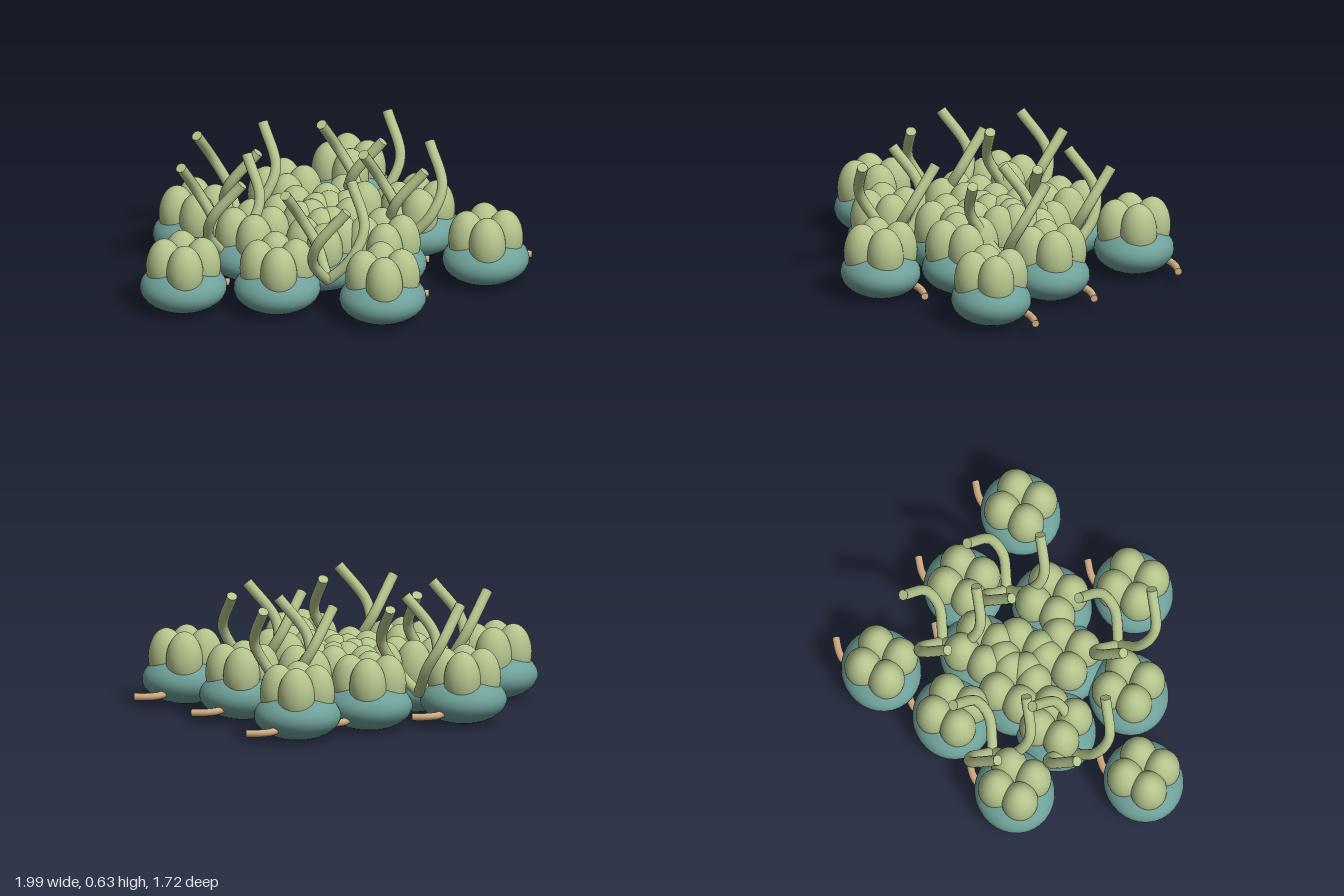
import * as THREE from 'three';

const green = new THREE.MeshStandardMaterial({ name: 'paleGreen', color: 0xb4c48c });
const teal = new THREE.MeshStandardMaterial({ name: 'seaTeal', color: 0x6fa19a });
const tan = new THREE.MeshStandardMaterial({ name: 'stemTan', color: 0xd2ae84 });

// Pod centres on the ground (x, z), spiralling outward
const pods = [
  [-0.015, 0.02], [-0.175, -0.055], [-0.07, 0.225], [0.075, -0.17], [0.23, 0.245],
  [-0.41, 0.09], [-0.21, -0.39], [0.435, -0.155], [-0.32, 0.49], [-0.67, -0.195],
  [0.195, 0.655], [0.13, -0.665], [0.745, 0.225], [-0.785, 0.44],
];
// Roots of the three-armed tendril tufts (x, z)
const tufts = [[-0.45, -0.25], [-0.56, 0.13], [0.18, -0.335], [0.36, 0.045], [-0.067, 0.505]];

function mesh(name, geometry, material) {
  const m = new THREE.Mesh(geometry, material);
  m.name = name;
  return m;
}

// Round tube through the points, closed by a disc at each end
function cappedTube(name, points, radius, material) {
  const curve = new THREE.CatmullRomCurve3(points.map((p) => new THREE.Vector3(...p)));
  const g = new THREE.Group();
  g.name = name;
  g.add(mesh(name + 'Body', new THREE.TubeGeometry(curve, 24, radius, 12), material));
  for (const t of [0, 1]) {
    const cap = mesh(name + 'Cap', new THREE.CircleGeometry(radius, 12), material);
    const dir = curve.getTangent(t).multiplyScalar(t ? 1 : -1);
    cap.position.copy(curve.getPoint(t));
    cap.quaternion.setFromUnitVectors(new THREE.Vector3(0, 0, 1), dir);
    g.add(cap);
  }
  return g;
}

function createPod() {
  const pod = new THREE.Group();
  pod.name = 'pod';
  const ball = new THREE.SphereGeometry(1, 32, 20);

  // Flattened cushion base
  const base = mesh('podBase', ball, teal);
  base.scale.set(0.218, 0.122, 0.2);
  base.position.y = 0.128;
  pod.add(base);

  // Four upright lobes
  for (let i = 0; i < 4; i++) {
    const a = (i * Math.PI) / 2;
    const lobe = mesh('lobe', ball, green);
    lobe.scale.set(0.092, 0.145, 0.092);
    lobe.position.set(Math.cos(a) * 0.095, 0.24, Math.sin(a) * 0.095);
    pod.add(lobe);
  }

  // Short stem bending out at the back
  pod.add(cappedTube('stem', [
    [0.06, 0.1, -0.1], [0.11, 0.075, -0.158], [0.165, 0.068, -0.172], [0.245, 0.065, -0.167],
  ], 0.019, tan));
  return pod;
}

function createTuft() {
  const tuft = new THREE.Group();
  tuft.name = 'tendrilTuft';
  // Radius, twist in degrees and height along one arm
  const arm = [[0, 0, 0.165], [0.065, 65, 0.225], [0.132, 61, 0.31], [0.187, 43, 0.435], [0.212, 0, 0.62]];
  for (const start of [188, 308, 68]) {
    const points = arm.map(([r, twist, y]) => {
      const a = THREE.MathUtils.degToRad(start + twist);
      return [r * Math.cos(a), y, r * Math.sin(a)];
    });
    tuft.add(cappedTube('tendril', points, 0.027, green));
  }
  return tuft;
}

export function createModel() {
  const model = new THREE.Group();
  model.name = 'podCluster';
  for (const [make, spots] of [[createPod, pods], [createTuft, tufts]]) {
    for (const [x, z] of spots) {
      const part = make();
      part.position.set(x, 0, z);
      model.add(part);
    }
  }
  return model;
}
